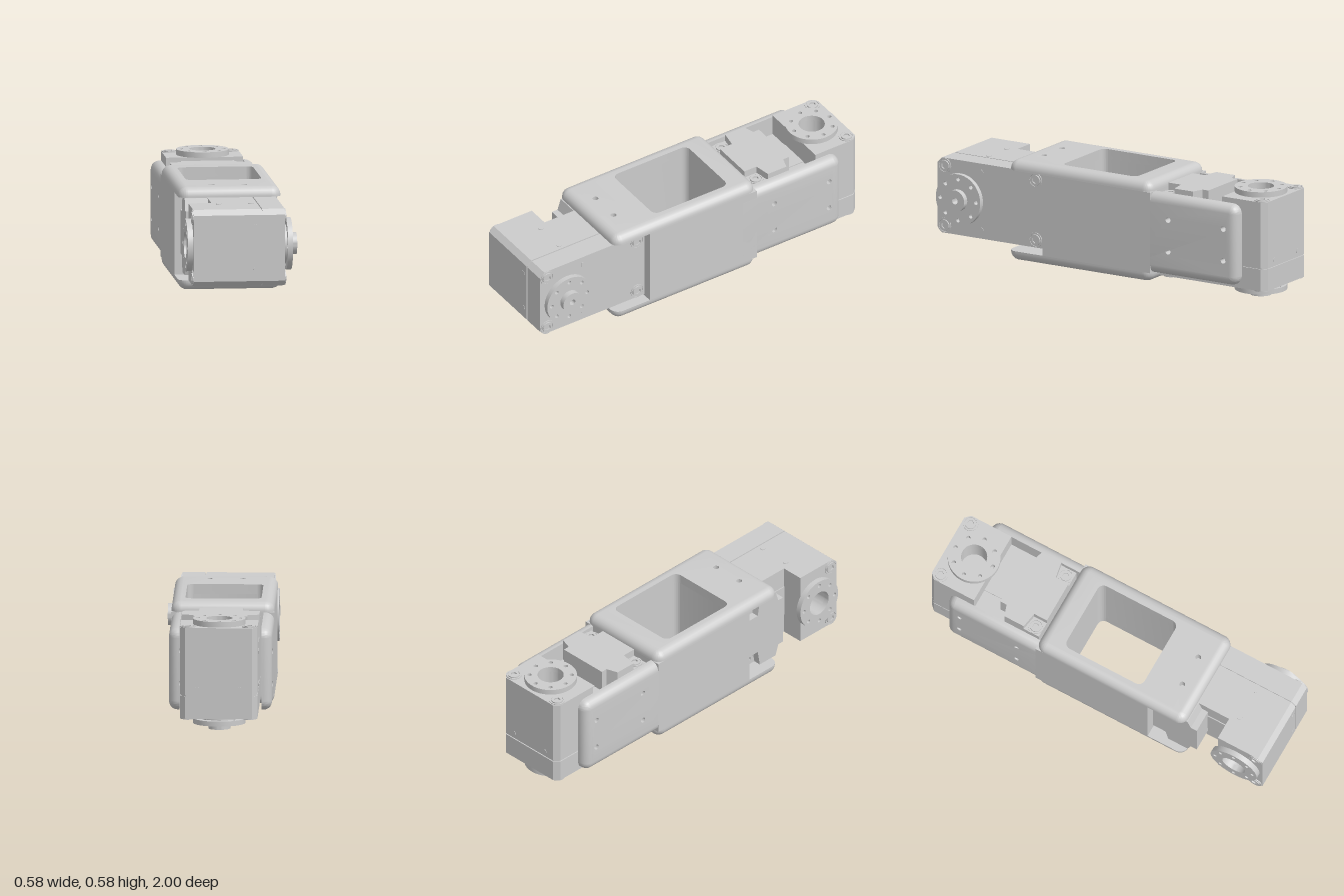
import * as THREE from 'three';
import { toCreasedNormals } from 'three/addons/utils/BufferGeometryUtils.js';

const material = new THREE.MeshStandardMaterial({ color: 0xcccccc });

function add(parent, name, geometry, x = 0, y = 0, z = 0) {
  const mesh = new THREE.Mesh(toCreasedNormals(geometry, 0.6), material);
  mesh.name = name;
  mesh.position.set(x, y, z);
  parent.add(mesh);
  return mesh;
}

const circle = (x, y, r) => new THREE.Path().absarc(x, y, r, 0, Math.PI * 2, true);
const polygon = (pts) => new THREE.Shape(pts.map(([x, y]) => new THREE.Vector2(x, y)));

// Rounded rectangle centred on (cx, cy) with half sizes w, h
function roundRect(w, h, r, cx = 0, cy = 0) {
  const s = new THREE.Shape();
  s.absarc(cx + w - r, cy + h - r, r, 0, Math.PI / 2);
  s.absarc(cx - w + r, cy + h - r, r, Math.PI / 2, Math.PI);
  s.absarc(cx - w + r, cy - h + r, r, Math.PI, Math.PI * 1.5);
  s.absarc(cx + w - r, cy - h + r, r, Math.PI * 1.5, Math.PI * 2);
  s.closePath();
  return s;
}

// Upright extrusion: shape (x, z) rises from y0 to y1
function upright(shape, y0, y1) {
  const g = new THREE.ExtrudeGeometry(shape, { depth: y1 - y0, bevelEnabled: false, curveSegments: 24 });
  // the shape's y becomes z; turning over keeps the faces outward
  return g.rotateX(Math.PI / 2).translate(0, y1, 0);
}

// Plate with rounded outer edges on its +z side and sharp holes
function plate(w, h, t, holes) {
  const r = 0.05, f = 0.045, steps = 6;
  const shape = roundRect(w, h, r);
  shape.holes.push(...holes);
  const g = new THREE.ExtrudeGeometry(shape, { depth: t, steps, bevelEnabled: false, curveSegments: 8 });
  const p = g.attributes.position;
  for (let i = 0; i < p.count; i++) {
    const layer = Math.round((p.getZ(i) / t) * steps);
    if (layer === 0) continue;
    const a = ((layer - 1) / (steps - 1)) * Math.PI / 2;
    const x = p.getX(i), y = p.getY(i);
    const cx = THREE.MathUtils.clamp(x, r - w, w - r);
    const cy = THREE.MathUtils.clamp(y, r - h, h - r);
    const k = (r - f * (1 - Math.cos(a))) / r;
    p.setXYZ(i, cx + (x - cx) * k, cy + (y - cy) * k, t - f + f * Math.sin(a));
  }
  return g;
}

// Socket screw: a raised rim around a head with a hexagonal recess, facing +y
function screw(parent, x, y, z, facing) {
  const g = new THREE.Group();
  g.name = 'cornerScrew';
  const rim = new THREE.Shape().absarc(0, 0, 0.04, 0, Math.PI * 2);
  rim.holes.push(circle(0, 0, 0.033));
  add(g, 'screwRim', upright(rim, 0, 0.005));
  const head = new THREE.Shape().absarc(0, 0, 0.029, 0, Math.PI * 2);
  const hex = [];
  for (let i = 0; i < 6; i++) hex.push([0.017 * Math.cos(i * Math.PI / 3), 0.017 * Math.sin(i * Math.PI / 3)]);
  head.holes.push(polygon(hex));
  add(g, 'screwHead', upright(head, 0, 0.008));
  g.position.set(x, y, z);
  if (facing < 0) g.rotation.x = Math.PI;
  parent.add(g);
}

// Drive disc with a ring of bolt holes
function hornGeometry(y0, y1, bore) {
  const s = new THREE.Shape().absarc(0, 0, 0.137, 0, Math.PI * 2);
  for (let i = 0; i < 8; i++) {
    const a = i * Math.PI / 4;
    s.holes.push(circle(0.11 * Math.cos(a), 0.11 * Math.sin(a), 0.011));
  }
  if (bore) s.holes.push(circle(0, 0, bore));
  return upright(s, y0, y1);
}

// Actuator: output axis along y, output end towards +z
function actuator(name) {
  const g = new THREE.Group();
  g.name = name;
  const W = 0.201, c = 0.028, axis = 0.845;
  const plan = (z0, i = 0) => polygon([
    [-W + i, z0 + i], [W - i, z0 + i], [W - i, 1 - c], [W - c, 1 - i], [-W + c, 1 - i], [-W + i, 1 - c],
  ]);

  // Case in two halves with a narrow seam
  add(g, 'lowerCase', upright(plan(0.35), 0.074, 0.191));
  add(g, 'caseSeam', upright(plan(0.35, 0.006), 0.185, 0.203));
  add(g, 'upperCase', upright(plan(0.35), 0.198, 0.43));

  // Output tower with the cable bore
  const tower = plan(0.735);
  tower.holes.push(circle(0, axis, 0.068));
  add(g, 'outputTower', upright(tower, 0.43, 0.55));

  // Rear cover, cut away around its screws
  const n = 0.115;
  add(g, 'rearCover', upright(polygon([
    [-n, 0.35], [n, 0.35], [n, 0.425], [W, 0.44], [W, 0.555], [0.14, 0.575], [0.14, 0.61],
    [-0.14, 0.61], [-0.14, 0.575], [-W, 0.555], [-W, 0.44], [-n, 0.425],
  ]), 0.43, 0.55));
  add(g, 'coverFlange', upright(polygon([[-W, 0.35], [W, 0.35], [W, 0.45], [-W, 0.45]]), 0.43, 0.51));
  add(g, 'cableRamp', new THREE.BoxGeometry(0.175, 0.01, 0.13), 0, 0.43, 0.67);

  // Output discs on both ends of the axis
  add(g, 'hollowHorn', hornGeometry(0.55, 0.579, 0.068), 0, 0, axis);
  add(g, 'hornCollar', new THREE.CylinderGeometry(0.1, 0.1, 0.024, 24), 0, 0.065, axis);
  add(g, 'idlerHorn', hornGeometry(0.03, 0.056, 0.02), 0, 0, axis);
  const boss = new THREE.Shape().absarc(0, 0, 0.057, 0, Math.PI * 2);
  boss.holes.push(circle(0, 0, 0.017));
  add(g, 'hornBoss', upright(boss, 0, 0.03), 0, 0, axis);

  for (const s of [-1, 1]) {
    screw(g, s * 0.16, 0.074, 0.395, -1);
    screw(g, s * 0.16, 0.074, 0.955, -1);
    screw(g, s * 0.16, 0.51, 0.39, 1);
    screw(g, s * 0.16, 0.55, 0.955, 1);
    // Small plugs in the end, the sides and the underside
    const plug = () => new THREE.CylinderGeometry(0.014, 0.014, 0.006, 8);
    add(g, 'endPlug', plug().rotateX(Math.PI / 2), s * 0.112, 0.227, 0.999);
    for (const h of [0.227, 0.397]) add(g, 'sidePlug', plug().rotateZ(Math.PI / 2), s * W, h, 0.78);
    add(g, 'undersidePlug', plug(), s * 0.155, 0.074, 0.73);
  }
  return g;
}

// Twin-fork bracket; each half turn adds one plate and one arm
function bracket() {
  const g = new THREE.Group();
  g.name = 'bracket';
  const core = polygon([[-0.2675, -0.33], [0.2675, -0.33], [0.2675, 0.335], [-0.2675, 0.335]]);
  core.holes.push(roundRect(0.1975, 0.23, 0.035, 0, 0.03));
  add(g, 'core', upright(core, -0.216, 0.216));
  for (let i = 0; i < 2; i++) {
    const half = new THREE.Group();
    half.name = i ? 'lowerRightFork' : 'upperLeftFork';
    half.rotation.z = i * Math.PI;
    const top = plate(0.2675, 0.44, 0.052, [
      roundRect(0.1975, 0.23, 0.035, 0, 0.08), circle(-0.085, -0.33, 0.015), circle(0.085, -0.33, 0.015),
    ]);
    add(half, 'forkPlate', top.rotateX(-Math.PI / 2), 0, 0.216, 0.11);
    const holes = [];
    for (const x of [-0.09, 0.25]) for (const y of [-0.085, 0.085]) holes.push(circle(x, y, 0.015));
    add(half, 'sideArm', plate(0.33, 0.216, 0.055, holes).rotateY(Math.PI / 2), 0.2125, 0, -0.53);
    g.add(half);
  }
  g.position.set(-0.0225, 0.309, 0);
  return g;
}

export function createModel() {
  const model = new THREE.Group();
  model.name = 'robotArmJoint';
  const front = actuator('frontActuator');
  front.rotation.z = Math.PI / 2;
  front.position.set(0.29, 0.323, 0);
  const rear = actuator('rearActuator');
  rear.rotation.y = Math.PI;
  rear.position.set(-0.017, 0, 0);
  model.add(bracket(), front, rear);
  return model;
}
